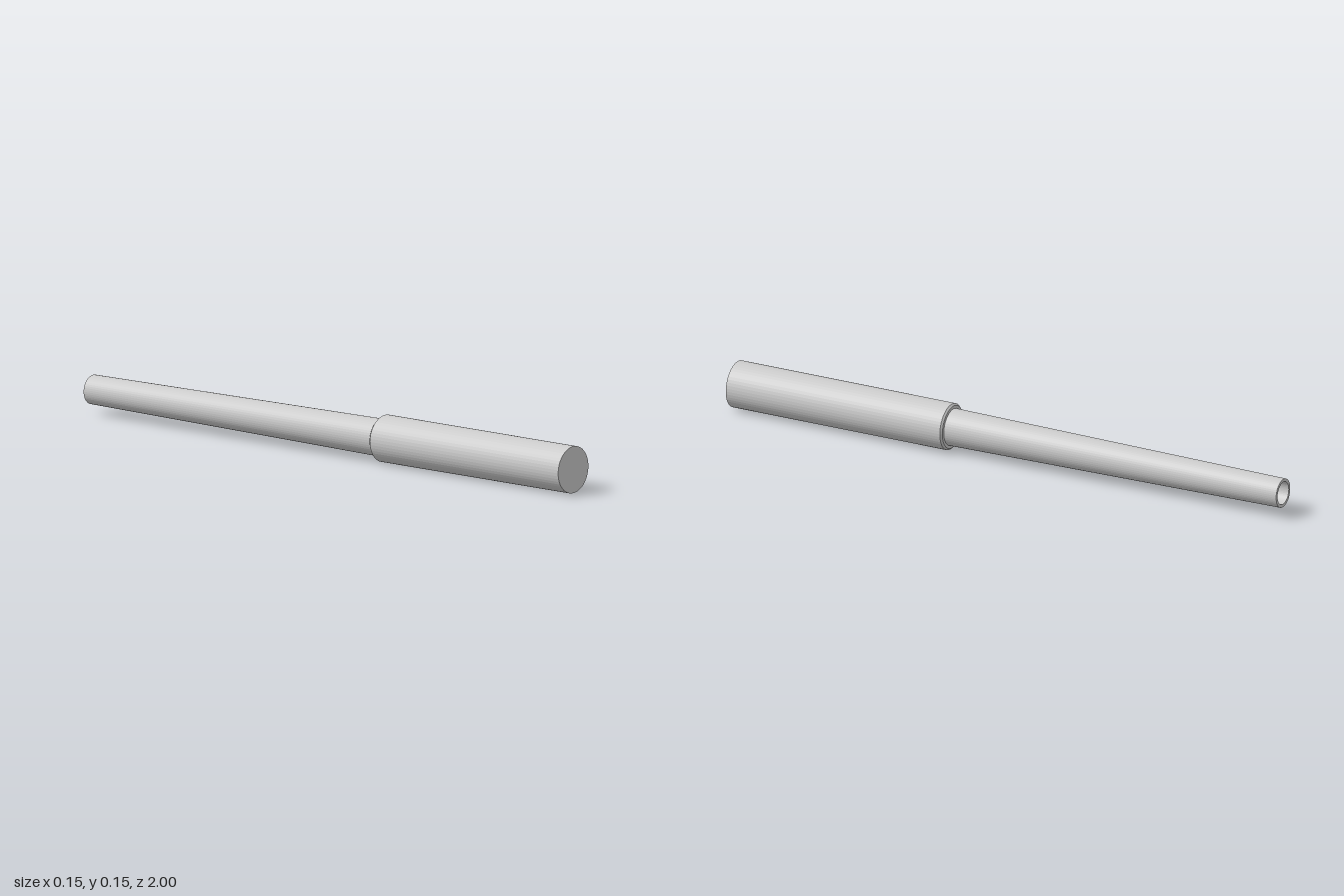
import * as THREE from 'three';

const SIDES = 48;
const AXIS_Y = 0.077;

// Turned part: profile points are [radius, z], running from the back end to the front
function turned(name, profile) {
  const geometry = new THREE.LatheGeometry(profile.map(([r, z]) => new THREE.Vector2(r, z)), SIDES);
  geometry.rotateX(Math.PI / 2);
  const material = new THREE.MeshStandardMaterial({ color: 0xcccccc, flatShading: true });
  const mesh = new THREE.Mesh(geometry, material);
  mesh.name = name;
  mesh.position.y = AXIS_Y;
  return mesh;
}

export function createModel() {
  const model = new THREE.Group();
  model.name = 'barrel';

  // Tapered tube: closed bore, rim, then the outer wall into the sleeve
  model.add(turned('taperedTube', [
    [0, 0.9], [0.038, 0.9], [0.038, -1], [0.048, -1], [0.0615, 0.23],
  ]));

  // Thick rear sleeve with a chamfered shoulder and a flat end
  model.add(turned('sleeve', [
    [0.06, 0.21], [0.071, 0.21], [0.077, 0.216], [0.077, 1], [0, 1],
  ]));

  return model;
}
